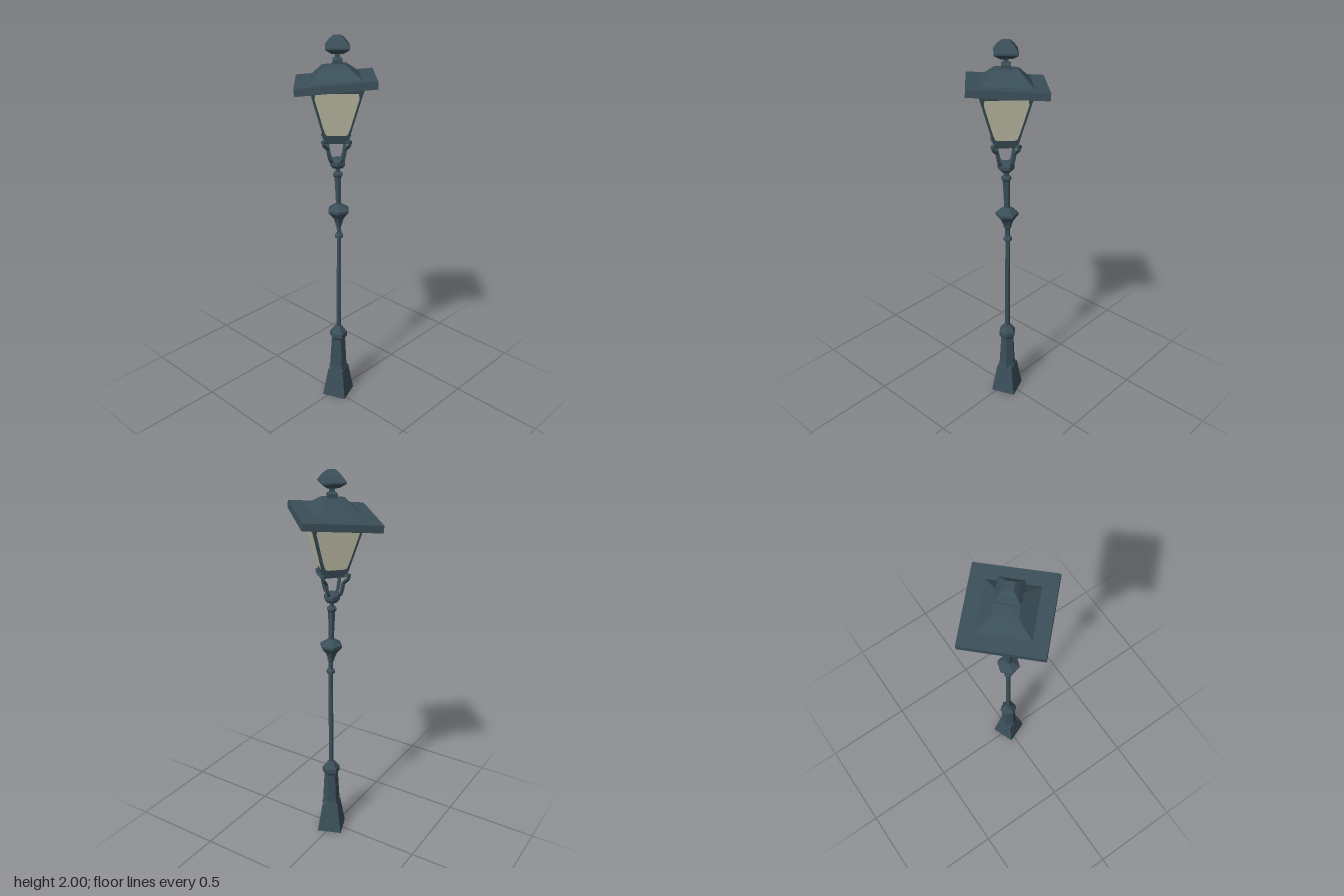
import * as THREE from 'three';

const metal = new THREE.MeshStandardMaterial({ color: 0x3b4f59, flatShading: true, side: THREE.DoubleSide });
metal.name = 'dark slate metal';
const glass = new THREE.MeshStandardMaterial({ color: 0xcbc8af, flatShading: true, side: THREE.DoubleSide });
glass.name = 'cream glass';

// faceted solid turned from a [radius, height] profile, bottom to top
function turned(name, profile, sides, phase = 0) {
  const points = profile.map(([r, y]) => new THREE.Vector2(r, y));
  const mesh = new THREE.Mesh(new THREE.LatheGeometry(points, sides, phase), metal);
  mesh.name = name;
  return mesh;
}

// slight lean: the middle of the post sits a little to +x of the lantern
function lean(mesh) {
  const p = mesh.geometry.attributes.position;
  for (let i = 0; i < p.count; i++) {
    const y = p.getY(i);
    const dx = y < 1 ? 0.015 + 0.004 * y : 0.019 - 0.03 * (y - 1);
    p.setXYZ(i, p.getX(i) + dx, y, p.getZ(i) + 0.009);
  }
  mesh.geometry.computeVertexNormals();
  return mesh;
}

// flat four-cornered ring sector posts and glass use these lantern sizes
const BOTTOM = { r: 0.077, y: 1.5 };
const TOP = { r: 0.178, y: 1.775 };

// one glazed side; u runs across the face (-1..1), v up it (0..1)
function pane() {
  const at = (side, v) => {
    const r = THREE.MathUtils.lerp(BOTTOM.r, TOP.r, v);
    const y = THREE.MathUtils.lerp(BOTTOM.y, TOP.y, v);
    const half = r / Math.SQRT2;
    const inset = side * half;
    return new THREE.Vector3(inset, y - 0.001, half + 0.003);
  };
  const edge = v => 1 - 0.012 / (THREE.MathUtils.lerp(BOTTOM.r, TOP.r, v) / Math.SQRT2);
  // chamfered outline
  const right = [[0.62, 0.16], [0.78, 0.18], [edge(0.3), 0.3], [edge(0.85), 0.85], [0.82, 0.95]];
  const outline = [
    ...right.map(([u, v]) => at(u, v)),
    ...right.slice().reverse().map(([u, v]) => at(-u, v)),
  ];
  const geometry = new THREE.BufferGeometry().setFromPoints(outline);
  const index = [];
  for (let i = 1; i < outline.length - 1; i++) index.push(0, i, i + 1);
  geometry.setIndex(index);
  geometry.computeVertexNormals();
  const mesh = new THREE.Mesh(geometry, glass);
  mesh.name = 'glassPane';
  return mesh;
}

export function createModel() {
  const model = new THREE.Group();
  model.name = 'streetLamp';

  // square, slightly turned plinth, open underneath
  model.add(lean(turned('plinth', [
    [0.093, 0], [0.061, 0.163], [0.04, 0.18],
  ], 4, -0.41)));

  // pedestal with flared cap
  model.add(lean(turned('pedestal', [
    [0.052, 0.165], [0.046, 0.19], [0.037, 0.36], [0.047, 0.375],
    [0.047, 0.4], [0.016, 0.44], [0, 0.44],
  ], 6, -0.41)));

  // slender pole
  model.add(lean(turned('pole', [
    [0.014, 0.43], [0.012, 0.975], [0.023, 0.975], [0.023, 0.988],
    [0.013, 1.0], [0.013, 1.045],
  ], 6, 0.2)));

  // wide knob half-way up
  model.add(lean(turned('knob', [
    [0.013, 1.04], [0.02, 1.05], [0.02, 1.06], [0.032, 1.09],
    [0.058, 1.122], [0.058, 1.135], [0.02, 1.16], [0.015, 1.165],
  ], 6, 0.2)));

  // upper pole with ring
  model.add(lean(turned('upperPole', [
    [0.014, 1.16], [0.019, 1.31], [0.026, 1.32], [0.026, 1.33],
    [0.013, 1.338], [0.013, 1.365],
  ], 6, 0.2)));

  // collar that carries the arms
  model.add(lean(turned('collar', [
    [0.013, 1.355], [0.028, 1.36], [0.042, 1.377], [0.042, 1.395],
    [0.025, 1.41], [0, 1.412],
  ], 6, 0.2)));

  const lantern = new THREE.Group();
  lantern.name = 'lantern';
  lantern.position.set(0.002, 0, 0.006);
  model.add(lantern);

  // four curled arms under the lantern corners
  const armPath = new THREE.CatmullRomCurve3([
    [0.015, 1.39], [0.045, 1.41], [0.055, 1.44], [0.064, 1.475], [0.082, 1.485], [0.092, 1.51],
  ].map(([r, y]) => new THREE.Vector3(0, y, r)));
  const armGeometry = new THREE.TubeGeometry(armPath, 8, 0.0105, 4);
  for (let i = 0; i < 4; i++) {
    const arm = new THREE.Mesh(armGeometry, metal);
    arm.name = 'arm';
    arm.rotation.y = i * Math.PI / 2;
    const tip = new THREE.Mesh(new THREE.BoxGeometry(0.02, 0.013, 0.03), metal);
    tip.name = 'armTip';
    tip.position.set(0, 1.51, 0.08);
    arm.add(tip);
    lantern.add(arm);
  }

  // lantern frame, corners on the axes, with glass on each side
  lantern.add(turned('lanternFrame', [
    [0, BOTTOM.y], [BOTTOM.r, BOTTOM.y], [TOP.r, TOP.y], [0, TOP.y],
  ], 4));
  for (let i = 0; i < 4; i++) {
    const side = pane();
    side.rotation.y = Math.PI / 4 + i * Math.PI / 2;
    lantern.add(side);
  }

  // tilted roof: wide brim and stepped pyramid
  const roof = turned('roof', [
    [0, -0.018], [0.269, -0.018], [0.269, 0.018], [0.172, 0.018],
    [0.088, 0.073], [0.08, 0.078], [0, 0.085],
  ], 4);
  roof.position.set(0, 1.787, 0);
  roof.rotation.set(-0.1, 0, 0.02);
  model.add(roof);

  // neck and cap on top
  const finial = turned('finial', [
    [0.045, 1.862], [0.032, 1.875], [0.032, 1.895], [0.016, 1.902], [0.016, 1.92],
    [0.04, 1.922], [0.08, 1.945], [0.08, 1.953], [0.055, 1.98], [0.028, 2], [0, 2],
  ], 4);
  finial.position.set(0.006, 0, 0.008);
  model.add(finial);

  return model;
}
